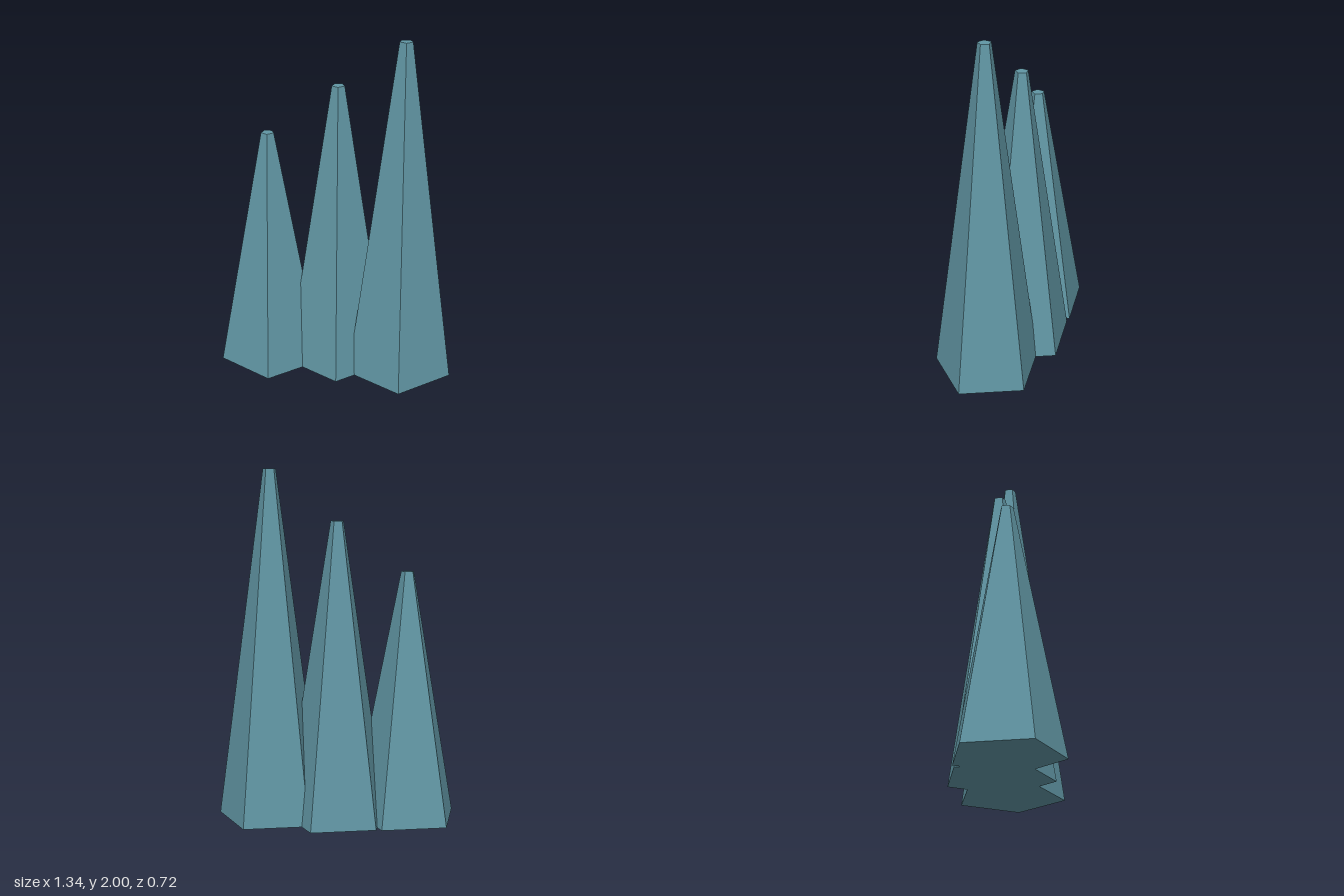
import * as THREE from 'three';

export function createModel() {
  const model = new THREE.Group();
  model.name = 'crystalSpikes';
  const teal = new THREE.MeshStandardMaterial({ color: 0x6196a4, flatShading: true });
  teal.name = 'dusty teal';

  // Three tapering five-sided spikes, rising from left to right, a corner facing +x
  const spikes = [
    { name: 'shortSpike', x: -0.413, z: 0.058, height: 1.43 },
    { name: 'middleSpike', x: -0.029, z: -0.055, height: 1.715 },
    { name: 'tallSpike', x: 0.355, z: -0.061, height: 2 },
  ];
  for (const { name, x, z, height } of spikes) {
    const geometry = new THREE.CylinderGeometry(0.038, 0.315, height, 5, 1, false, Math.PI / 2);
    const spike = new THREE.Mesh(geometry, teal);
    spike.name = name;
    spike.position.set(x, height / 2, z);
    model.add(spike);
  }
  return model;
}
